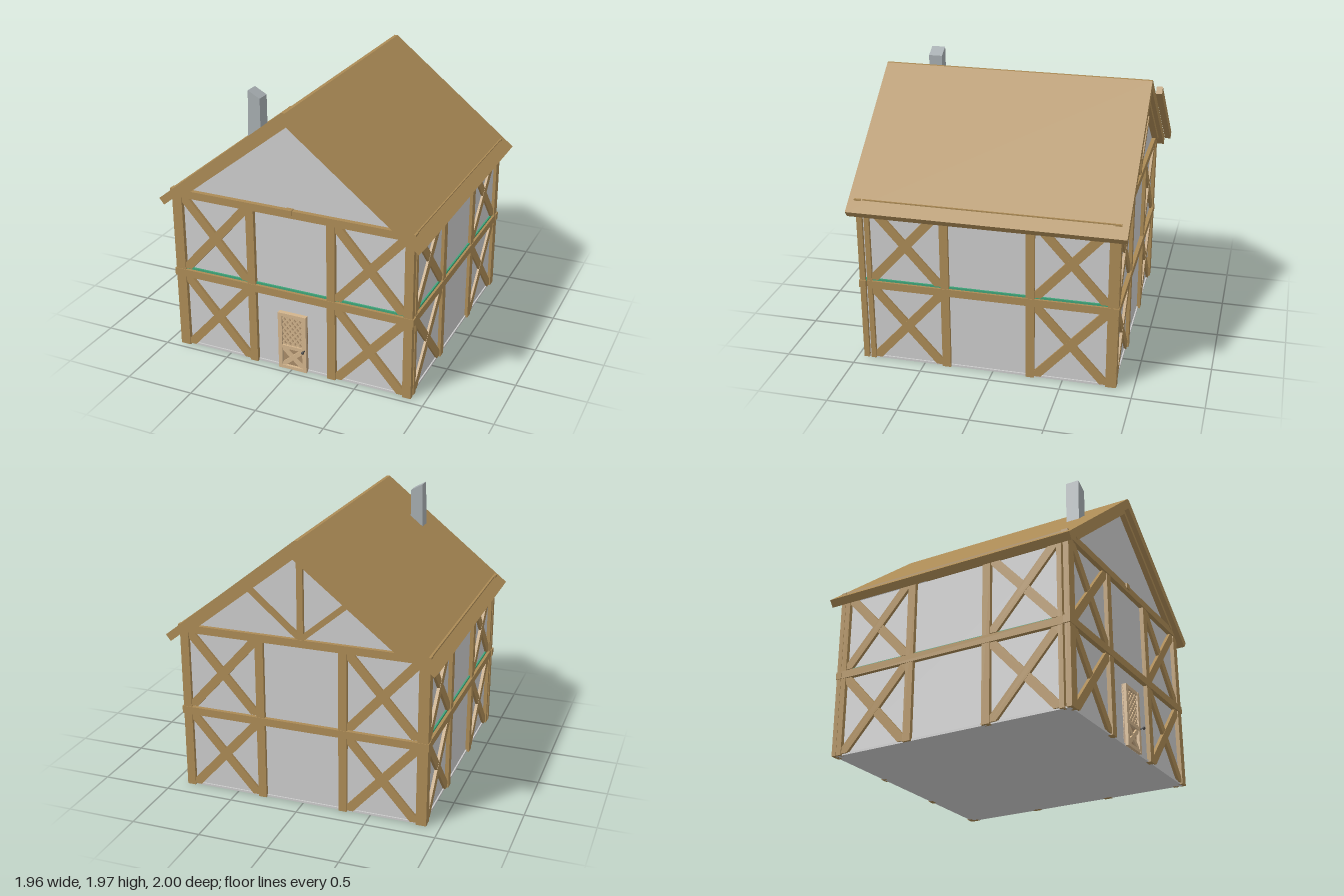
import * as THREE from 'three';

const mat = (color) => new THREE.MeshStandardMaterial({ color, flatShading: true });
const plaster = mat(0xcccccc), timber = mat(0xab8a55), floorGreen = mat(0x3fa57a);
const stone = mat(0xa6adb0), tan = mat(0xd2b48c), tanDark = mat(0xa88a68), iron = mat(0x444444);

// Box given by its lower and upper corner
function box(parent, name, m, [x0, y0, z0], [x1, y1, z1]) {
  const mesh = new THREE.Mesh(new THREE.BoxGeometry(x1 - x0, y1 - y0, z1 - z0), m);
  mesh.position.set((x0 + x1) / 2, (y0 + y1) / 2, (z0 + z1) / 2);
  mesh.name = name;
  parent.add(mesh);
  return mesh;
}

// Outline in the xy plane, extruded from z0 to z1
function prism(parent, name, m, pts, z0, z1) {
  const shape = new THREE.Shape(pts.map(([x, y]) => new THREE.Vector2(x, y)));
  const geo = new THREE.ExtrudeGeometry(shape, { depth: z1 - z0, bevelEnabled: false });
  const mesh = new THREE.Mesh(geo.translate(0, 0, z0), m);
  mesh.name = name;
  parent.add(mesh);
  return mesh;
}

// Straight bar of width w from point a to point b
function bar(parent, name, m, [ax, ay], [bx, by], w, z0, z1) {
  const len = Math.hypot(bx - ax, by - ay);
  const nx = (-(by - ay) / len) * w / 2, ny = ((bx - ax) / len) * w / 2;
  prism(parent, name, m, [[ax - nx, ay - ny], [bx - nx, by - ny], [bx + nx, by + ny], [ax + nx, ay + ny]], z0, z1);
}

// Two crossing braces, cut off flush with a rectangular bay
function crossBrace(parent, name, m, x0, y0, x1, y1, c, z0, z1) {
  const band = [[x0, y0], [x0 + c, y0], [x1, y1 - c], [x1, y1], [x1 - c, y1], [x0, y0 + c]];
  prism(parent, name, m, band, z0, z1);
  prism(parent, name, m, band.map(([x, y]) => [x0 + x1 - x, y]), z0, z1 - 0.002);
}

// Timber frame on a wall face at local z = 0: posts, rails and cross braces
function timberFrame(name, posts, railEnds, depth) {
  const g = new THREE.Group();
  g.name = name;
  for (const [a, b] of posts) box(g, 'post', timber, [a, 0, -0.01], [b, 1.19, depth]);
  for (const [y0, y1] of [[0.565, 0.62], [1.185, 1.24]]) {
    box(g, 'rail', timber, [railEnds[0], y0, -0.015], [railEnds[1], y1, depth + 0.004]);
  }
  for (const i of [0, 2]) {
    for (const [y0, y1] of [[0.01, 0.565], [0.63, 1.185]]) {
      crossBrace(g, 'crossBrace', timber, posts[i][1], y0, posts[i + 1][0], y1, 0.045, -0.01, depth - 0.006);
    }
  }
  return g;
}

// Door with lattice window, crossed lower panel and knob
function makeDoor() {
  const g = new THREE.Group();
  g.name = 'door';
  box(g, 'doorPanel', tanDark, [-0.1, 0.005, -0.01], [0.115, 0.44, 0.012]);
  for (const x of [-0.1, 0.085]) box(g, 'stile', tan, [x, 0.002, 0], [x + 0.03, 0.445, 0.034]);
  for (const [y0, y1] of [[0.002, 0.026], [0.165, 0.19], [0.42, 0.445]]) {
    box(g, 'doorRail', tan, [-0.07, y0, 0], [0.085, y1, 0.033]);
  }
  crossBrace(g, 'lowerCross', tan, -0.07, 0.026, 0.085, 0.165, 0.022, 0, 0.027);
  // lattice strips clipped to the window
  const [l, r, b, t] = [-0.07, 0.085, 0.19, 0.42], k = 1.2;
  for (let c = b - 0.17; c < t; c += 0.047) {
    const x0 = Math.max(l, l + (b - c) / k), x1 = Math.min(r, l + (t - c) / k);
    if (x1 - x0 < 0.01) continue;
    const y0 = c + k * (x0 - l), y1 = c + k * (x1 - l);
    bar(g, 'lattice', tan, [x0, y0], [x1, y1], 0.011, 0, 0.026);
    bar(g, 'lattice', tan, [l + r - x0, y0], [l + r - x1, y1], 0.011, 0, 0.023);
  }
  const knob = new THREE.Mesh(new THREE.SphereGeometry(0.011, 12, 8), iron);
  knob.name = 'knob';
  knob.position.set(0.103, 0.18, 0.062);
  const stem = new THREE.Mesh(new THREE.CylinderGeometry(0.005, 0.005, 0.035, 8).rotateX(Math.PI / 2), iron);
  stem.name = 'knobStem';
  stem.position.set(0.103, 0.18, 0.045);
  g.add(knob, stem);
  return g;
}

export function createModel() {
  const house = new THREE.Group();
  house.name = 'timberHouse';

  // Floors
  box(house, 'groundFloor', plaster, [-0.885, 0, -0.865], [0.885, 0.015, 0.935]);
  box(house, 'upperFloor', floorGreen, [-0.886, 0.61, -0.84], [0.886, 0.635, 0.937]);

  // Walls; front and back run up into the gable
  const gable = [[-0.875, 0.005], [0.875, 0.005], [0.875, 1.16], [0, 1.85], [-0.875, 1.16]];
  prism(house, 'frontWall', plaster, gable, 0.9, 0.925);
  prism(house, 'backWall', plaster, gable, -0.855, -0.83);
  for (const s of [-1, 1]) {
    const x = s * 0.8625;
    box(house, 'sideWall', plaster, [x - 0.0125, 0.005, -0.854], [x + 0.0125, 1.165, 0.924]);
  }

  // Timber frames on the four sides
  const postsX = [[-0.905, -0.83], [-0.33, -0.27], [0.275, 0.335], [0.835, 0.897]];
  const postsZ = [[-0.875, -0.805], [-0.3, -0.24], [0.305, 0.365], [0.865, 0.9]];
  const flip = (list) => list.map(([a, b]) => [-b, -a]).reverse();
  const front = timberFrame('frontFrame', postsX, [-0.915, 0.907], 0.03);
  front.position.z = 0.925;
  const back = timberFrame('backFrame', flip(postsX), [-0.907, 0.91], 0.025);
  back.rotation.y = Math.PI;
  back.position.z = -0.855;
  const right = timberFrame('sideFrame', flip(postsZ), [-0.9, 0.875], 0.023);
  right.rotation.y = Math.PI / 2;
  right.position.x = 0.875;
  const left = timberFrame('sideFrame', postsZ, [-0.88, 0.93], 0.028);
  left.rotation.y = -Math.PI / 2;
  left.position.x = -0.875;
  house.add(front, back, right, left);

  // Gable timbers: rafters on both ends, truss at the back
  for (const [z0, z1] of [[0.92, 0.965], [-0.9, -0.85]]) {
    for (const s of [-1, 1]) {
      bar(house, 'rafter', timber, [0, 1.862], [s * 0.8, 1.233], 0.05, z0, z1);
    }
  }
  box(house, 'beamPeg', timber, [-0.025, 1.208, 0.92], [0.025, 1.245, 0.968]);
  box(house, 'kingPost', timber, [-0.022, 1.22, -0.88], [0.022, 1.84, -0.85]);
  for (const s of [-1, 1]) {
    bar(house, 'strut', timber, [0, 1.24], [s * 0.37, 1.555], 0.04, -0.876, -0.85);
  }

  // Roof
  prism(house, 'roof', timber, [
    [0.012, 1.94], [-0.012, 1.94], [-0.98, 1.17], [-0.945, 1.125],
    [0, 1.867], [0.945, 1.125], [0.98, 1.17],
  ], -0.93, 1.0);

  // Loose barge board behind the back gable
  bar(house, 'bargeBoard', timber, [-0.003, 1.872], [-0.765, 1.27], 0.055, -1.0, -0.957);

  // Chimney with a slanted top
  prism(house, 'chimney', stone, [[-0.385, 1.55], [-0.285, 1.6], [-0.285, 1.925], [-0.372, 1.972]], 0.68, 0.78);

  // Door
  const door = makeDoor();
  door.position.z = 0.925;
  house.add(door);
  return house;
}
